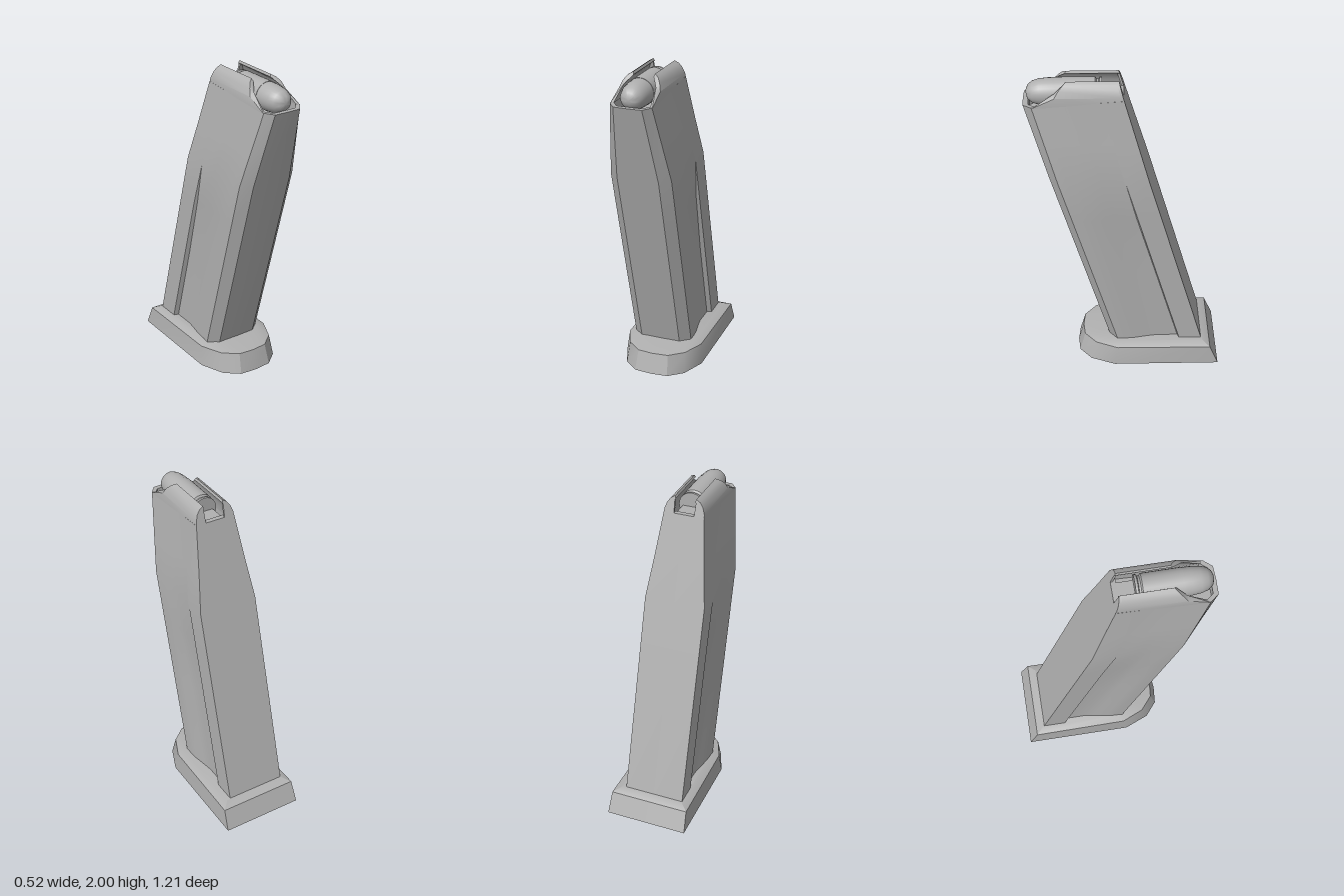
import * as THREE from 'three';
import { toCreasedNormals } from 'three/addons/utils/BufferGeometryUtils.js';

const CX = -0.0125;                                // tube sits slightly off the base centre
const lean = (y) => 0.2875 * (y - 0.15);           // forward slant of the tube

// Mirror a half outline [x, y, z] (back to front on +x) into a closed ring.
function mirrorRing(half) {
  const other = half.slice(1, -1).reverse().map(([x, y, z]) => [-x, y, z]);
  return [...half, ...other];
}

// Skin a stack of equal-length rings; optionally close the first and last.
function loft(rings, capStart, capEnd, crease = 0.5) {
  const n = rings[0].length, pos = rings.flat(2), idx = [];
  for (let i = 0; i < rings.length - 1; i++) {
    for (let j = 0; j < n; j++) {
      const a = i * n + j, b = i * n + (j + 1) % n;
      idx.push(a, a + n, b, b, a + n, b + n);
    }
  }
  const cap = (row, flip) => {
    const c = pos.length / 3, ring = rings[row];
    for (let k = 0; k < 3; k++) pos.push(ring.reduce((s, p) => s + p[k], 0) / n);
    for (let j = 0; j < n; j++) {
      const a = row * n + j, b = row * n + (j + 1) % n;
      if (flip) idx.push(c, a, b); else idx.push(c, b, a);
    }
  };
  if (capStart) cap(0, true);
  if (capEnd) cap(rings.length - 1, false);
  const g = new THREE.BufferGeometry();
  g.setAttribute('position', new THREE.Float32BufferAttribute(pos, 3));
  g.setIndex(idx);
  return toCreasedNormals(g, crease);
}

export function createModel() {
  const group = new THREE.Group();
  const steel = new THREE.MeshStandardMaterial({ color: 0xb0b0b0, side: THREE.DoubleSide });
  steel.name = 'grey';
  const add = (name, geometry, x = 0, y = 0, z = 0) => {
    const m = new THREE.Mesh(geometry, steel);
    m.name = name;
    m.position.set(x, y, z);
    group.add(m);
    return m;
  };

  // Base plate: flared foot with a bevelled top edge
  const foot = (y, pts) => mirrorRing(pts.map(([x, z]) => [x, y, z]));
  add('basePlate', loft([
    foot(0, [[0, -0.6], [0.2625, -0.6], [0.2625, 0.08], [0.2, 0.235], [0.11, 0.31], [0, 0.32]]),
    foot(0.13, [[0, -0.545], [0.255, -0.545], [0.25, 0.06], [0.19, 0.2], [0.1, 0.275], [0, 0.285]]),
    foot(0.153, [[0, -0.495], [0.205, -0.495], [0.205, 0.02], [0.16, 0.09], [0.1, 0.115], [0, 0.12]]),
  ], true, true));

  // Tube: slanted section with a side channel of depth g, narrowing by w
  const tubeRing = (y, w, g, inset = 1, drop = 0) => {
    const o = 0.1925 * w;
    const half = [
      [0, -0.49], [o, -0.49], [o, -0.345], [o - g, -0.335], [o - g, -0.2],
      [o - g * 0.7, -0.14], [o - g * 0.15, -0.05], [o, 0.0], [o, 0.06],
      [o * 0.68, 0.112], [0, 0.115],
    ];
    return mirrorRing(half.map(([x, z]) => {
      const py = typeof y === 'function' ? y(z) : y;
      const pz = -0.1875 + (z + 0.1875) * inset;
      return [x * inset, py - drop, pz + lean(py)];
    }));
  };
  const rim = (z) => 1.9 - 0.04 * (z + 0.49) / 0.605;
  add('tube', loft([
    tubeRing(0.14, 1, 0.03),
    tubeRing(0.7, 1, 0.028),
    tubeRing(1.1, 1, 0.018),
    tubeRing(1.38, 1, 0.0005),
    tubeRing(1.62, 0.835, 0.0005),
    tubeRing(rim, 0.665, 0.0005),
    tubeRing(rim, 0.665, 0.0005, 0.9),
    tubeRing(rim, 0.665, 0.0005, 0.9, 0.09),
  ], false, true), CX);

  // Feed lips: curled walls over the cartridge, [x, y, front z]
  const lipProfile = [
    [0.129, 1.86, 0.55], [0.126, 1.92, 0.42], [0.112, 1.96, 0.395], [0.093, 1.985, 0.37], [0.0675, 2.0, 0.35],
    [0.061, 1.985, 0.36], [0.085, 1.965, 0.38], [0.105, 1.92, 0.41], [0.112, 1.86, 0.54],
  ];
  for (const s of [1, -1]) {
    const side = s > 0 ? 'left' : 'right';
    const back = lipProfile.map(([x, y]) => [s * x, y, lean(y) - 0.49]);
    const front = lipProfile.map(([x, y, z]) => [s * x, y, z]);
    const rings = s > 0 ? [front, back] : [back, front];
    add(side + 'FeedLip', loft(rings, true, true, 0.7), CX);

    // Rear wall closing each lip beside the notch
    const wall = [[0.129, 1.86], [0.126, 1.92], [0.112, 1.96], [0.093, 1.985], [0.0675, 2.0], [0.062, 1.86]];
    const plate = (d) => wall.map(([x, y]) => [s * x, y, lean(y) - 0.49 + d]);
    add(side + 'RearWall', loft(s > 0 ? [plate(0.014), plate(0)] : [plate(0), plate(0.014)], true, true), CX);
  }

  // Follower block behind the cartridge
  add('follower', new THREE.BoxGeometry(0.115, 0.09, 0.11), CX, 1.85, 0.095);

  // Top cartridge: rim, extractor groove, case and rounded nose, lying along z
  const profile = [
    [0, 0.14], [0.082, 0.14], [0.082, 0.155], [0.072, 0.16], [0.072, 0.172], [0.084, 0.18], [0.085, 0.415],
    [0.083, 0.415], [0.082, 0.46], [0.077, 0.51], [0.065, 0.55], [0.042, 0.577], [0.02, 0.586], [0, 0.588],
  ].map(([r, z]) => new THREE.Vector2(r, z));
  const round = add('cartridge', toCreasedNormals(new THREE.LatheGeometry(profile, 28), 0.6), CX, 1.902, 0);
  round.rotation.x = Math.PI / 2;

  return group;
}
